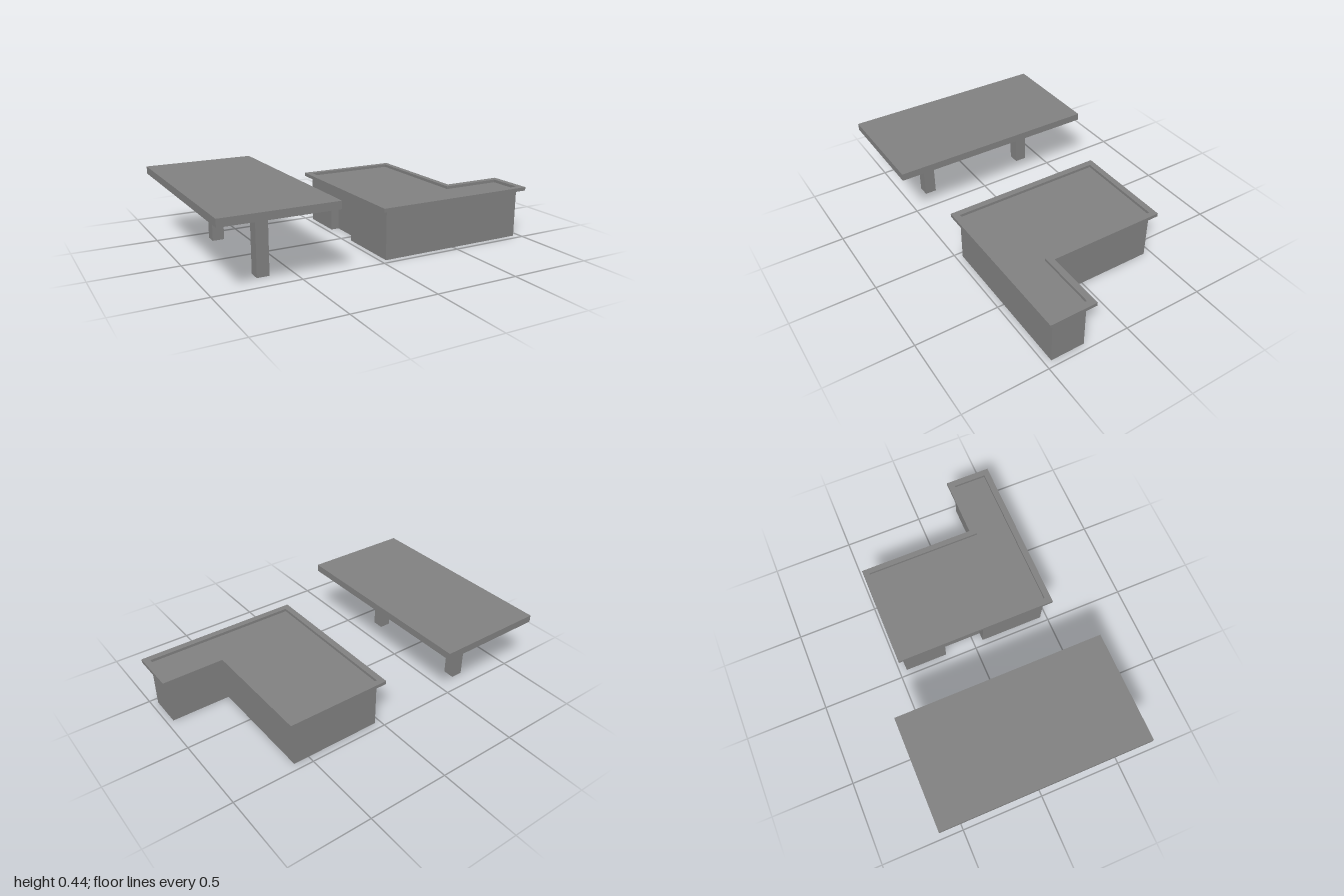
import * as THREE from 'three';

const material = new THREE.MeshStandardMaterial({ color: 0x808080, flatShading: true });

// Extrudes a floor-plan outline of [x, z] points from y0 up to y1
function slab(name, plan, y0, y1, holePlan) {
  const points = (p) => p.map(([x, z]) => new THREE.Vector2(x, -z));
  const shape = new THREE.Shape(points(plan));
  if (holePlan) shape.holes.push(new THREE.Path(points(holePlan)));
  const geometry = new THREE.ExtrudeGeometry(shape, { depth: y1 - y0, bevelEnabled: false });
  geometry.rotateX(-Math.PI / 2);
  geometry.translate(0, y0, 0);
  const mesh = new THREE.Mesh(geometry, material);
  mesh.name = name;
  return mesh;
}

const rect = (x0, x1, z0, z1) => [[x0, z1], [x1, z1], [x1, z0], [x0, z0]];

// L-shaped plan: a long block with a short arm towards +x at the front
const ell = (x0, xMid, x1, z0, zMid, z1) =>
  [[x0, z1], [x1, z1], [x1, zMid], [xMid, zMid], [xMid, z0], [x0, z0]];

export function createModel() {
  const model = new THREE.Group();

  // Table: top with a shallow recess underneath, on two posts
  const table = new THREE.Group();
  table.name = 'table';
  const rim = 0.035;
  table.add(
    slab('tableTop', rect(-1, -0.339, -0.63, 0.63), 0.412, 0.435),
    slab('tableTopRim', rect(-1, -0.339, -0.63, 0.63), 0.391, 0.412,
      rect(-1 + rim, -0.339 - rim, -0.63 + rim, 0.63 - rim))
  );
  for (const z of [0.334, -0.368]) {
    table.add(slab('tableLeg', rect(-0.705, -0.633, z - 0.036, z + 0.036), 0, 0.412));
  }

  // Counter: L-shaped body with a low, shallow niche on its inner side
  const counter = new THREE.Group();
  counter.name = 'counter';
  const body = ell(0.034, 0.595, 0.962, -0.455, 0.257, 0.461);
  const niche = [[0.034, -0.19], [0.084, -0.19], [0.084, 0.06], [0.034, 0.06]];
  counter.add(
    slab('counterBase', [...body, ...niche], 0, 0.2),
    slab('counterBody', body, 0.2, 0.297),
    // Raised overhanging rim around the counter surface
    slab('counterRim', ell(-0.004, 0.628, 1, -0.491, 0.219, 0.499), 0.293, 0.314, body)
  );

  model.add(table, counter);
  return model;
}
